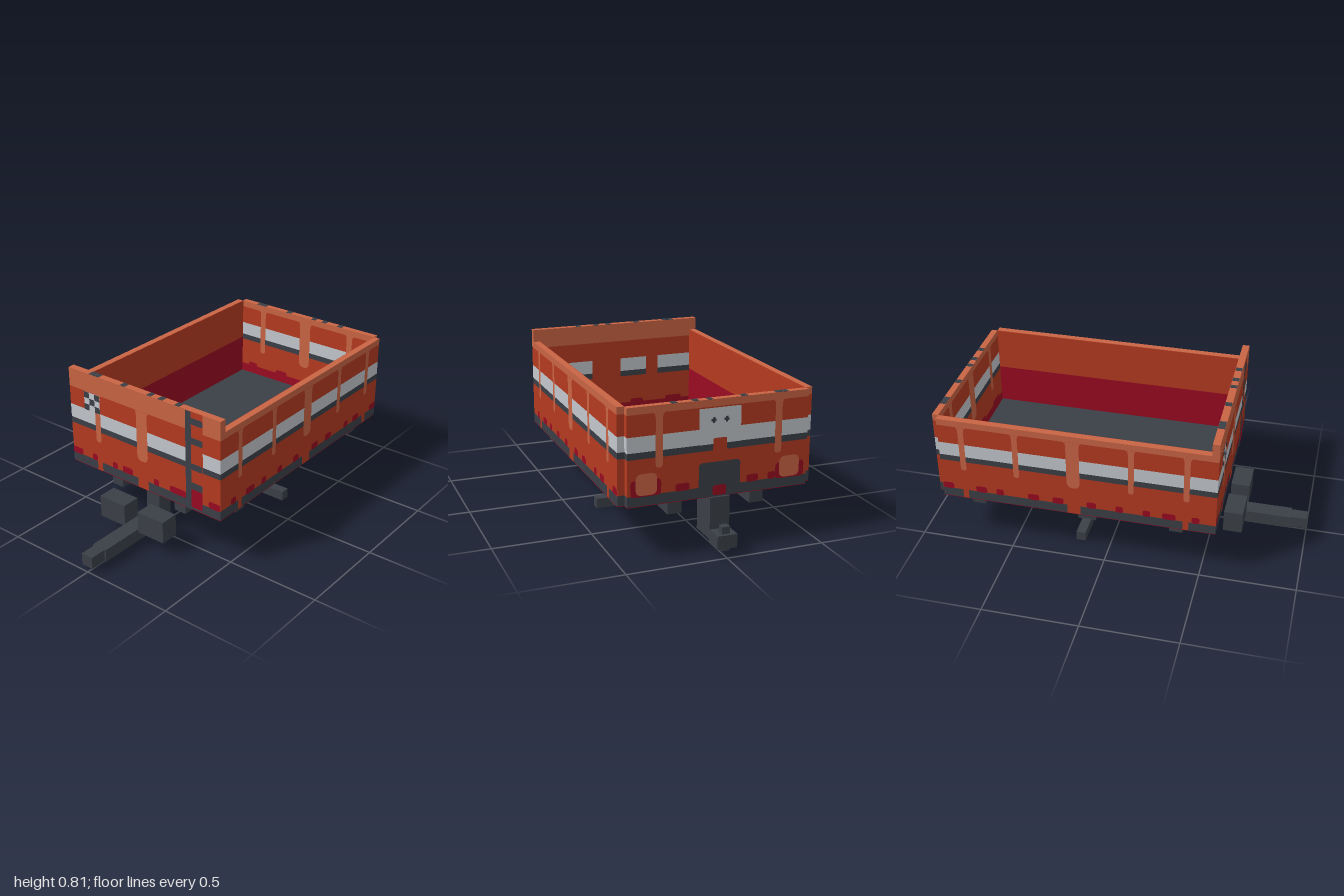
import * as THREE from 'three';

const make = (name, color) => {
  const m = new THREE.MeshStandardMaterial({ color });
  m.name = name;
  return m;
};

export function createModel() {
  const red = make('red', 0xb53a20), orange = make('faded orange', 0xc96444);
  const light = make('light grey', 0xc3c7cc), dark = make('charcoal', 0x3b4047);
  const crimson = make('crimson', 0x9a0a22);
  const model = new THREE.Group();
  model.name = 'tipperTrailer';

  // Box given by its limits on each axis
  const box = (parent, name, mat, x0, x1, y0, y1, z0, z1) => {
    const m = new THREE.Mesh(new THREE.BoxGeometry(x1 - x0, y1 - y0, z1 - z0), mat);
    m.position.set((x0 + x1) / 2, (y0 + y1) / 2, (z0 + z1) / 2);
    m.name = name;
    parent.add(m);
  };

  // Wall built of stacked colour bands
  const wall = (name, x0, x1, z0, z1, top) => {
    const g = new THREE.Group();
    g.name = name;
    const bands = [[0.275, 0.325, dark], [0.325, 0.5, red], [0.5, 0.532, dark],
      [0.532, 0.607, light], [0.607, 0.71, red], [0.71, top, orange]];
    for (const [y0, y1, mat] of bands) box(g, 'band', mat, x0, x1, y0, y1, z0, z1);
    box(g, 'underside', crimson, x0, x1, 0.272, 0.275, z0, z1);
    model.add(g);
  };
  wall('frontWall', -0.49, 0.49, 0.535, 0.572, 0.812);
  wall('backWall', -0.455, 0.455, -0.895, -0.862, 0.745);
  wall('leftWall', 0.455, 0.49, -0.862, 0.535, 0.745);
  wall('rightWall', -0.49, -0.455, -0.862, 0.535, 0.745);
  box(model, 'floor', dark, -0.455, 0.455, 0.272, 0.29, -0.862, 0.535);

  // Inner lining of the long walls
  for (const s of [-1, 1]) {
    const a = s * 0.455, b = s * 0.452;
    box(model, 'upperLining', red, Math.min(a, b), Math.max(a, b), 0.51, 0.744, -0.862, 0.535);
    box(model, 'lowerLining', crimson, Math.min(a, b), Math.max(a, b), 0.29, 0.51, -0.862, 0.535);
  }

  // Painted shapes: rectangle with optional rounded corners, and a flared drip
  const rect = (u0, u1, v0, v1, r = 0) => {
    const s = new THREE.Shape();
    s.moveTo(u0 + r, v0).lineTo(u1 - r, v0).quadraticCurveTo(u1, v0, u1, v0 + r);
    s.lineTo(u1, v1 - r).quadraticCurveTo(u1, v1, u1 - r, v1);
    s.lineTo(u0 + r, v1).quadraticCurveTo(u0, v1, u0, v1 - r);
    s.lineTo(u0, v0 + r).quadraticCurveTo(u0, v0, u0 + r, v0);
    return s;
  };
  const drip = (u, w, v0, v1 = 0.711) => {
    const s = new THREE.Shape(), h = w / 2;
    s.moveTo(u - h - 0.015, v1).quadraticCurveTo(u - h, v1, u - h, v1 - 0.03);
    s.lineTo(u - h, v0 + h).quadraticCurveTo(u - h, v0, u, v0);
    s.quadraticCurveTo(u + h, v0, u + h, v0 + h).lineTo(u + h, v1 - 0.03);
    s.quadraticCurveTo(u + h, v1, u + h + 0.015, v1);
    return s;
  };
  const blobs = (list) => list.map(([a, b]) => rect(a, b, 0.323, 0.36, 0.014));

  // A face holds layers of paint, each slightly further out
  const face = (name, x, z, angle, layers) => {
    const g = new THREE.Group();
    g.name = name;
    g.position.set(x, 0, z);
    g.rotation.y = angle;
    layers.forEach(([mat, shapes], i) => {
      const m = new THREE.Mesh(new THREE.ShapeGeometry(shapes, 4), mat);
      m.position.z = 0.0015 + i * 0.0006;
      m.name = mat.name + ' paint';
      g.add(m);
    });
    model.add(g);
  };

  // Front: drips, chequered plate and ladder
  const chequer = [];
  for (const [i, j] of [[0, 0], [2, 0], [1, 1], [0, 2], [2, 2]]) {
    const u = -0.387 + i * 0.036, v = 0.607 + j * 0.034;
    chequer.push(rect(u, u + 0.035, v, v + 0.034));
  }
  face('frontPaint', 0, 0.572, 0, [
    [crimson, blobs([[-0.49, -0.42], [-0.35, -0.315], [-0.21, -0.175], [-0.14, -0.07],
      [0.07, 0.105], [0.175, 0.28], [0.42, 0.49]])],
    [red, [rect(-0.315, -0.28, 0.275, 0.33), rect(-0.035, 0.035, 0.275, 0.33),
      rect(0.3, 0.385, 0.43, 0.812)]],
    [orange, [drip(-0.298, 0.035, 0.44), drip(0, 0.07, 0.43)]],
    [light, [rect(-0.387, -0.28, 0.605, 0.71)]],
    [dark, [...chequer, rect(0.28, 0.315, 0.275, 0.812), rect(0.31, 0.385, 0.745, 0.78, 0.01),
      rect(0.31, 0.385, 0.64, 0.675, 0.01), rect(0.31, 0.385, 0.5, 0.535, 0.01),
      rect(0.31, 0.385, 0.39, 0.43, 0.01)]],
    [crimson, [rect(0.315, 0.385, 0.29, 0.392, 0.01)]],
  ]);

  // Long sides, mirrored
  const sideDrips = [[0.42, 0.03, 0.45], [0.14, 0.03, 0.45], [-0.157, 0.068, 0.435],
    [-0.455, 0.03, 0.45], [-0.737, 0.03, 0.45]];
  const sideBlobs = [[0.45, 0.49], [0.3, 0.37], [0.2, 0.24], [0.06, 0.1], [-0.09, -0.04],
    [-0.27, -0.21], [-0.4, -0.34], [-0.57, -0.53], [-0.68, -0.62], [-0.86, -0.8]];
  for (const s of [-1, 1]) {
    face(s > 0 ? 'leftPaint' : 'rightPaint', s * 0.49, 0, s * Math.PI / 2, [
      [crimson, blobs(sideBlobs.map(([a, b]) => (s > 0 ? [-b, -a] : [a, b])))],
      [red, [0.42, -0.157, -0.737].map((z, i) =>
        rect(-s * z - (i === 1 ? 0.034 : 0.015), -s * z + (i === 1 ? 0.034 : 0.015), 0.275, 0.33))],
      [orange, sideDrips.map(([z, w, v]) => drip(-s * z, w, v))],
    ]);
  }

  // Back: number plate, dark hatch and two lamps
  face('backPaint', 0, -0.895, Math.PI, [
    [crimson, [...blobs([[-0.22, -0.15], [0.14, 0.2], [0.25, 0.29]]),
      rect(-0.44, -0.29, 0.32, 0.4, 0.02), rect(0.29, 0.44, 0.32, 0.4, 0.02)]],
    [orange, [drip(-0.3, 0.035, 0.45), drip(0.3, 0.035, 0.45),
      rect(-0.415, -0.31, 0.325, 0.43, 0.03), rect(0.31, 0.415, 0.325, 0.43, 0.03)]],
    [light, [rect(-0.105, 0.105, 0.532, 0.705)]],
    [dark, [rect(-0.105, 0.105, 0.275, 0.445, 0.02), rect(-0.045, -0.02, 0.64, 0.652),
      rect(-0.038, -0.027, 0.633, 0.66), rect(0.02, 0.045, 0.64, 0.652),
      rect(0.027, 0.038, 0.633, 0.66)]],
    [red, [rect(-0.035, 0.035, 0.445, 0.56, 0.01)]],
    [crimson, [rect(-0.035, 0.035, 0.28, 0.33, 0.015)]],
  ]);

  // Inner faces of the end walls
  face('backInnerPaint', 0, -0.862, 0, [
    [crimson, [rect(-0.455, 0.455, 0.29, 0.34), ...blobs([[-0.4, -0.34], [-0.2, -0.12],
      [0.08, 0.16], [0.3, 0.4]])]],
    [orange, [drip(-0.3, 0.035, 0.44), drip(0, 0.07, 0.43), drip(0.3, 0.035, 0.44)]],
  ]);
  face('frontInnerPaint', 0, 0.535, Math.PI, [
    [crimson, [rect(-0.455, 0.455, 0.29, 0.34), ...blobs([[-0.4, -0.34], [-0.2, -0.12],
      [0.08, 0.16], [0.3, 0.4]])]],
    [red, [rect(-0.33, -0.29, 0.49, 0.62), rect(-0.15, 0.02, 0.49, 0.62),
      rect(0.18, 0.25, 0.49, 0.62)]],
  ]);

  // Worn patches along the end rims
  for (const [a, b] of [[-0.35, -0.285], [-0.14, -0.108], [0.035, 0.062], [0.105, 0.135], [0.21, 0.24]]) {
    box(model, 'frontRimPatch', dark, a, b, 0.81, 0.8135, 0.536, 0.571);
    box(model, 'backRimPatch', dark, a, b, 0.743, 0.7465, -0.894, -0.863);
  }

  // Chassis rails, axle posts and front blocks, mirrored
  for (const s of [-1, 1]) {
    const part = (name, a, b, ...rest) =>
      box(model, name, dark, s > 0 ? a : -b, s > 0 ? b : -a, ...rest);
    part('chassisRail', 0.175, 0.245, 0.202, 0.273, -0.862, 0.54);
    part('axlePost', 0.175, 0.245, 0.048, 0.203, -0.21, -0.11);
    part('frontBlock', 0.045, 0.21, 0.082, 0.202, 0.575, 0.675);
  }
  box(model, 'axle', dark, -0.368, 0.368, 0, 0.052, -0.185, -0.135);
  box(model, 'frontCrossMember', dark, -0.453, 0.453, 0.222, 0.273, 0.33, 0.4);
  box(model, 'rearCrossMember', dark, -0.453, 0.453, 0.222, 0.273, -0.72, -0.65);

  // Draw bar and rear coupling
  box(model, 'frontPost', dark, -0.043, 0.043, 0.045, 0.273, 0.42, 0.505);
  box(model, 'drawBar', dark, -0.043, 0.043, 0.03, 0.098, 0.575, 0.912);
  box(model, 'drawBarTip', dark, -0.034, 0.034, 0.032, 0.096, 0.912, 1);
  box(model, 'rearPost', dark, -0.05, 0.05, 0.065, 0.273, -0.908, -0.757);
  box(model, 'rearCoupler', dark, -0.05, 0.05, 0.048, 0.115, -1, -0.9);
  box(model, 'couplerPin', dark, -0.02, 0.02, 0.03, 0.15, -0.982, -0.945);
  return model;
}
